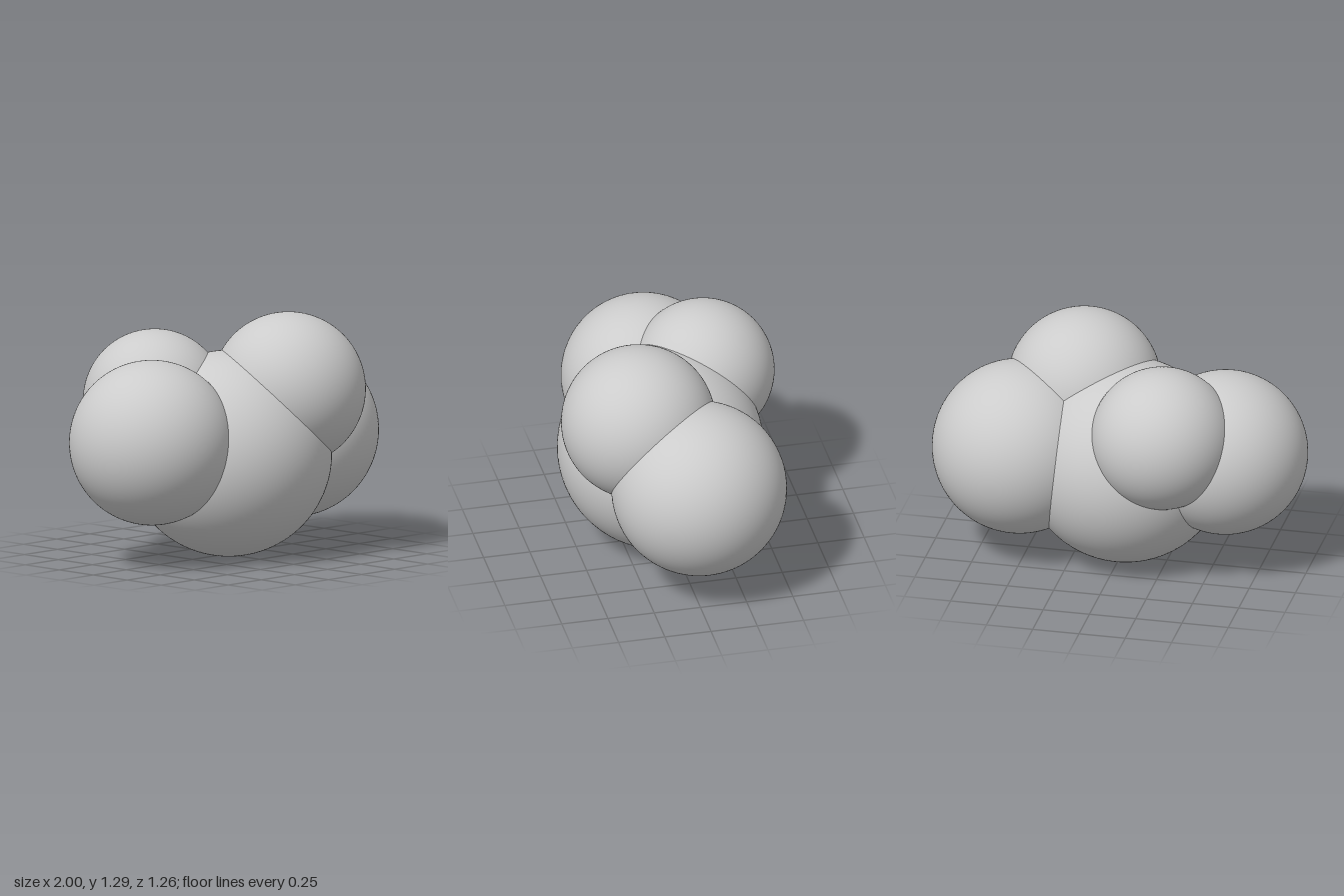
import * as THREE from 'three';

// name, radius, centre: a core ball with four overlapping smaller balls
const BALLS = [
  ['coreSphere', 0.545, [-0.018, 0.545, 0.04]],
  ['leftSphere', 0.463, [0.537, 0.603, -0.042]],
  ['rightSphere', 0.436, [-0.564, 0.658, 0.006]],
  ['frontTopSphere', 0.408, [0.248, 0.878, 0.22]],
  ['backTopSphere', 0.378, [-0.28, 0.825, -0.25]],
];

export function createModel() {
  const group = new THREE.Group();
  group.name = 'sphereCluster';
  const material = new THREE.MeshStandardMaterial({ color: 0xcccccc });
  for (const [name, radius, centre] of BALLS) {
    const ball = new THREE.Mesh(new THREE.SphereGeometry(radius, 96, 64), material);
    ball.name = name;
    ball.position.set(...centre);
    group.add(ball);
  }
  return group;
}
